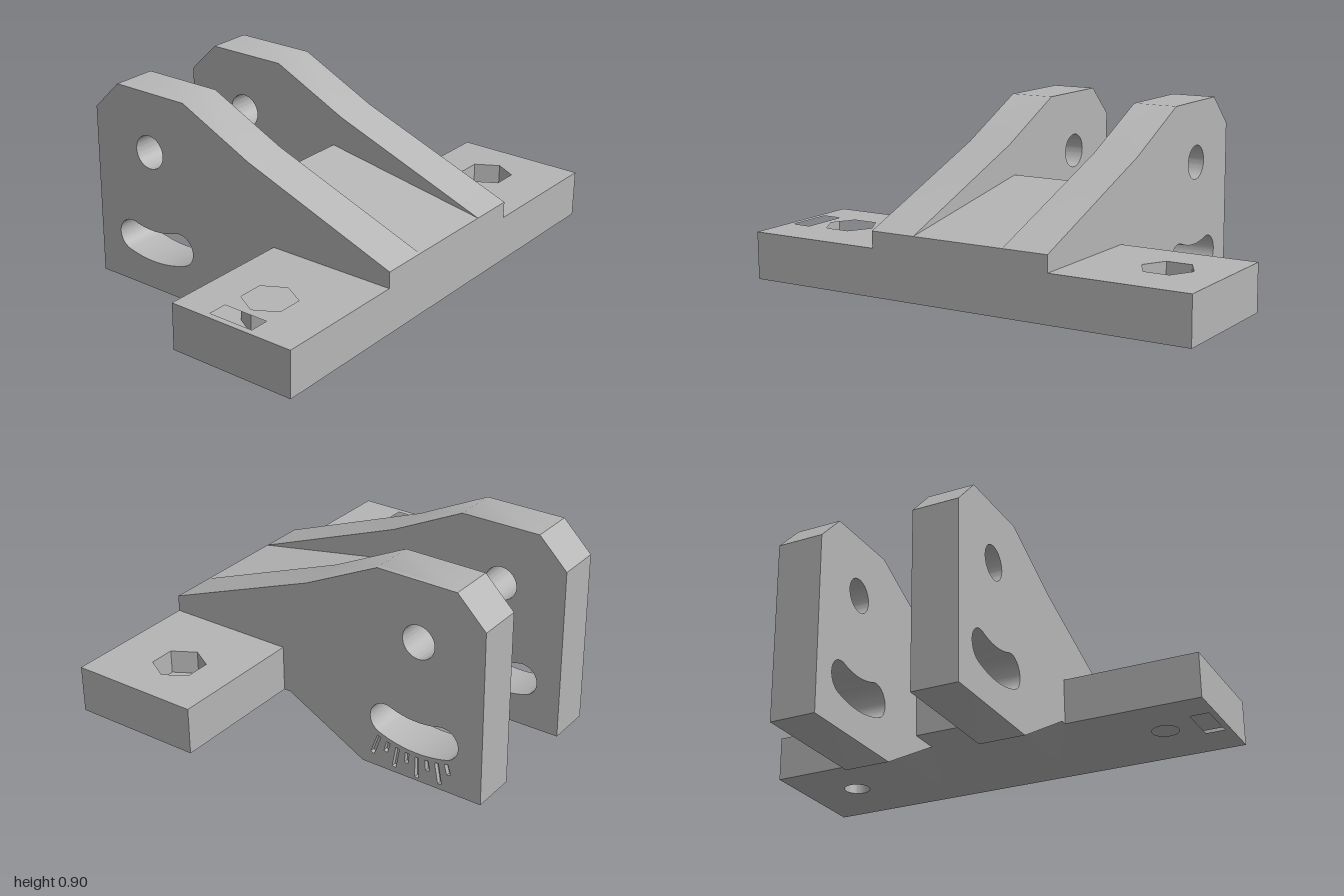
import * as THREE from 'three';
import { toCreasedNormals } from 'three/addons/utils/BufferGeometryUtils.js';

const grey = new THREE.MeshStandardMaterial({ color: 0xb5b5b5 });
grey.name = 'plain grey';

// Pivot hole centre in side-profile coordinates (u = -z, v = y)
const PIVOT = { u: 0.465, v: 0.635 };
const DEG = Math.PI / 180;

const polygon = (points, Type = THREE.Shape) =>
  new Type(points.map(([a, b]) => new THREE.Vector2(a, b)));

const circle = (u, v, r) => new THREE.Path().absarc(u, v, r, 0, Math.PI * 2, true);

function extrude(shape, depth) {
  const g = new THREE.ExtrudeGeometry(shape, { depth, bevelEnabled: false, curveSegments: 32 });
  return toCreasedNormals(g, 0.5);
}

function add(group, name, geometry) {
  const mesh = new THREE.Mesh(geometry, grey);
  mesh.name = name;
  group.add(mesh);
}

// Side profile (-z, y) extruded along x
const acrossX = (shape, x0, x1) =>
  extrude(shape, x1 - x0).rotateY(Math.PI / 2).translate(x0, 0, 0);

// Plan outline (x, -z) extruded upwards
const upward = (shape, y0, y1) =>
  extrude(shape, y1 - y0).rotateX(-Math.PI / 2).translate(0, y0, 0);

// Point at a radius and angle below the pivot
const below = (r, a) => [PIVOT.u + r * Math.sin(a), PIVOT.v - r * Math.cos(a)];

// Curved slot concentric with the pivot hole, with round ends
function curvedSlot() {
  const mid = 0.433, half = 0.0725;
  const a0 = -21 * DEG, a1 = 15.8 * DEG, down = -Math.PI / 2;
  const p = new THREE.Path();
  const end0 = below(mid, a0), end1 = below(mid, a1);
  p.absarc(PIVOT.u, PIVOT.v, mid + half, down + a0, down + a1, false);
  p.absarc(end1[0], end1[1], half, down + a1, down + a1 + Math.PI, false);
  p.absarc(PIVOT.u, PIVOT.v, mid - half, down + a1, down + a0, true);
  p.absarc(end0[0], end0[1], half, down + a0 + Math.PI, down + a0 + 2 * Math.PI, false);
  return p;
}

// Radial scale mark, alternately long and short
function scaleMark(index) {
  const a = (-20.5 + index * 5.1) * DEG, w = 0.009;
  const r0 = 0.525, r1 = index % 2 ? 0.572 : 0.62;
  const du = w * Math.cos(a), dv = w * Math.sin(a);
  const [u0, v0] = below(r0, a), [u1, v1] = below(r1, a);
  return polygon([[u0 - du, v0 - dv], [u1 - du, v1 - dv], [u1 + du, v1 + dv], [u0 + du, v0 + dv]], THREE.Path);
}

function armShape(withMarks) {
  const s = polygon([
    [-0.765, 0.2], [-0.17, 0.2], [0.2, 0], [0.765, 0], [0.765, 0.77],
    [0.635, 0.9], [0.27, 0.9], [-0.07, 0.735], [-0.765, 0.47],
  ]);
  s.holes.push(circle(PIVOT.u, PIVOT.v, 0.074), curvedSlot());
  if (withMarks) for (let i = 0; i < 8; i++) s.holes.push(scaleMark(i));
  return s;
}

// Wing outline with a bolt opening; only the right wing has the strap slot
function wingShape(side, opening) {
  const a = side * 0.405, b = side;
  const s = polygon([[a, -0.765], [b, -0.765], [b, -0.2], [a, -0.2]]);
  s.holes.push(opening);
  if (side < 0) {
    s.holes.push(polygon([[-0.973, -0.565], [-0.973, -0.365], [-0.89, -0.365], [-0.89, -0.565]], THREE.Path));
  }
  return s;
}

function hexagon(x, y, r) {
  const pts = [];
  for (let i = 0; i < 6; i++) {
    pts.push([x + r * Math.cos(i * 60 * DEG), y - r * Math.sin(i * 60 * DEG)]);
  }
  return polygon(pts, THREE.Path);
}

export function createModel() {
  const model = new THREE.Group();
  model.name = 'pivotBracket';

  // Side wings: round bolt hole below, hexagonal nut pocket above
  for (const side of [-1, 1]) {
    const wing = new THREE.Group();
    wing.name = side > 0 ? 'leftWing' : 'rightWing';
    const x = side * 0.748;
    add(wing, 'boltHolePlate', upward(wingShape(side, circle(x, -0.463, 0.058)), 0.2, 0.3));
    add(wing, 'nutPocketPlate', upward(wingShape(side, hexagon(x, -0.463, 0.11)), 0.3, 0.4));
    model.add(wing);
  }

  // Arms: the left one carries the engraved scale on its outer face
  const engraving = 0.02;
  add(model, 'rightArm', acrossX(armShape(false), -0.405, -0.205));
  const leftArm = new THREE.Group();
  leftArm.name = 'leftArm';
  add(leftArm, 'armCore', acrossX(armShape(false), 0.205, 0.405 - engraving));
  add(leftArm, 'engravedFace', acrossX(armShape(true), 0.405 - engraving, 0.405));
  model.add(leftArm);

  // Sloping web between the arms
  const web = polygon([[-0.765, 0.2], [-0.03, 0.2], [-0.03, 0.6], [-0.765, 0.47]]);
  add(model, 'centreWeb', acrossX(web, -0.205, 0.205));

  return model;
}
